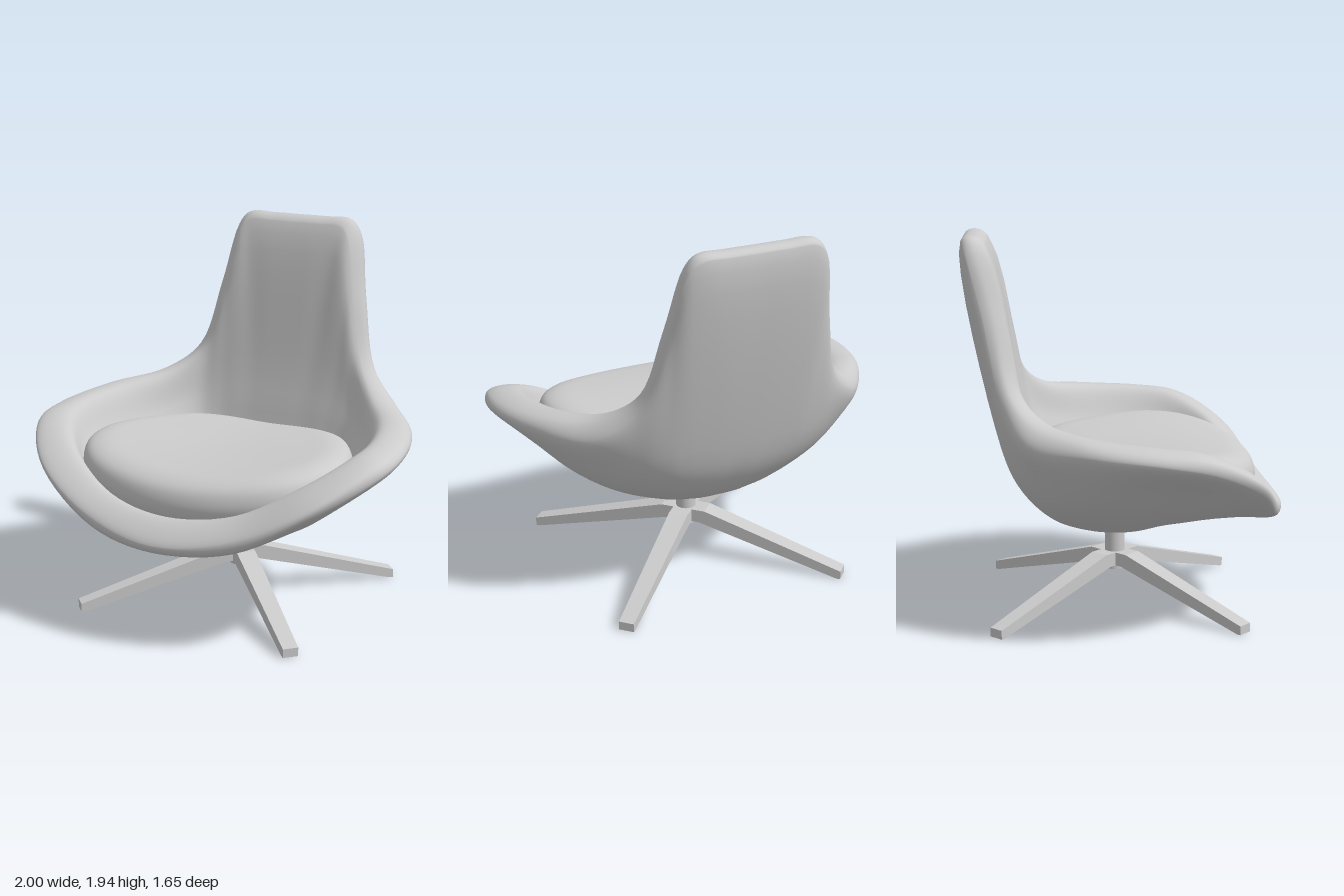
import * as THREE from 'three';

const material = new THREE.MeshStandardMaterial({ color: 0xcccccc, roughness: 0.8 });
const V = (x, y, z) => new THREE.Vector3(x, y, z);

// Closed smooth ring from half a loop (front centre, round the +x side, to back centre)
function mirroredRing(half) {
  const right = half.map((p) => V(...p));
  const left = right.slice(1, -1).reverse().map((p) => V(-p.x, p.y, p.z));
  return new THREE.CatmullRomCurve3([...right, ...left], true);
}

// Smooth surface through rings of points, ordered bottom to top
function loft(rows) {
  const n = rows[0].length;
  const position = [], index = [];
  rows.forEach((row) => row.forEach((p) => position.push(p.x, p.y, p.z)));
  for (let i = 0; i < rows.length - 1; i++) {
    for (let j = 0; j < n; j++) {
      const k = (j + 1) % n;
      const a = i * n + j, b = i * n + k, c = a + n, d = b + n;
      index.push(a, b, c, b, d, c);
    }
  }
  const geometry = new THREE.BufferGeometry();
  geometry.setAttribute('position', new THREE.Float32BufferAttribute(position, 3));
  geometry.setIndex(index);
  geometry.computeVertexNormals();
  return geometry;
}

// Ribs run from the underside, up the outside, over the rim and down to the floor
function ribLoft(rings, start, end, columns, rowCount) {
  const rows = Array.from({ length: rowCount + 1 }, () => []);
  for (let j = 0; j < columns; j++) {
    const rib = new THREE.CatmullRomCurve3([start, ...rings.map((r) => r.getPoint(j / columns)), end]);
    rows.forEach((row, i) => row.push(rib.getPoint(i / rowCount)));
  }
  return loft(rows);
}

function shellGeometry() {
  const underside = [
    [0, 0.483, 0.23], [0.19, 0.483, 0.2], [0.32, 0.483, 0.15], [0.4, 0.485, 0.08],
    [0.43, 0.487, -0.03], [0.41, 0.487, -0.15], [0.35, 0.488, -0.25], [0.28, 0.49, -0.32],
    [0.22, 0.492, -0.36], [0.165, 0.495, -0.38], [0.11, 0.495, -0.395], [0.05, 0.495, -0.4], [0, 0.495, -0.4]];
  const bottom = underside.map(([x, y, z]) => [x * 0.5, 0.332 + y * 0.2, z * 0.5 - 0.04]);
  const haunch = [
    [0, 0.508, 0.42], [0.28, 0.52, 0.38], [0.5, 0.55, 0.3], [0.62, 0.61, 0.18],
    [0.66, 0.63, 0.02], [0.64, 0.625, -0.18], [0.55, 0.63, -0.36], [0.41, 0.645, -0.47],
    [0.31, 0.655, -0.515], [0.23, 0.66, -0.535], [0.15, 0.66, -0.545], [0.075, 0.66, -0.55], [0, 0.66, -0.55]];
  const belt = [
    [0, 0.51, 0.62], [0.34, 0.53, 0.57], [0.64, 0.63, 0.46], [0.8, 0.75, 0.28],
    [0.83, 0.78, 0.08], [0.8, 0.78, -0.2], [0.65, 0.8, -0.45], [0.485, 0.85, -0.57],
    [0.37, 0.88, -0.615], [0.28, 0.89, -0.63], [0.18, 0.89, -0.637], [0.09, 0.89, -0.641], [0, 0.89, -0.642]];
  const rimOutside = [
    [0, 0.5, 0.8], [0.4, 0.55, 0.74], [0.75, 0.74, 0.62], [0.96, 0.88, 0.38],
    [1.0, 0.93, 0.15], [0.92, 0.96, -0.2], [0.72, 0.98, -0.5], [0.53, 1.13, -0.62],
    [0.425, 1.55, -0.71], [0.357, 1.85, -0.79], [0.29, 1.91, -0.81], [0.15, 1.915, -0.815], [0, 1.915, -0.815]];
  const rimTop = [
    [0, 0.545, 0.82], [0.42, 0.62, 0.75], [0.77, 0.8, 0.62], [0.95, 0.94, 0.38],
    [0.975, 0.975, 0.15], [0.88, 1.015, -0.2], [0.68, 1.065, -0.46], [0.523, 1.2, -0.585],
    [0.425, 1.55, -0.66], [0.36, 1.868, -0.745], [0.305, 1.935, -0.76], [0.15, 1.94, -0.76], [0, 1.94, -0.76]];
  const rimInside = [
    [0, 0.65, 0.69], [0.36, 0.7, 0.63], [0.66, 0.86, 0.5], [0.81, 0.965, 0.3],
    [0.83, 0.995, 0.1], [0.75, 1.02, -0.18], [0.6, 1.07, -0.4], [0.48, 1.2, -0.53],
    [0.39, 1.55, -0.61], [0.325, 1.84, -0.67], [0.27, 1.9, -0.69], [0.14, 1.905, -0.69], [0, 1.905, -0.69]];
  const innerWall = [
    [0, 0.6, 0.6], [0.34, 0.63, 0.56], [0.6, 0.72, 0.43], [0.71, 0.8, 0.26],
    [0.72, 0.82, 0.08], [0.66, 0.84, -0.14], [0.56, 0.88, -0.34], [0.46, 0.92, -0.45],
    [0.36, 0.97, -0.487], [0.26, 1.0, -0.5], [0.17, 1.0, -0.505], [0.08, 1.0, -0.505], [0, 1.0, -0.505]];
  const floor = innerWall.map(([x, , z]) => [x * 0.75, 0.64, z * 0.75]);
  const rings = [bottom, underside, haunch, belt, rimOutside, rimTop, rimInside, innerWall, floor];
  return ribLoft(rings.map(mirroredRing), V(0, 0.412, -0.08), V(0, 0.6, 0), 144, 80);
}

// Puffy seat pad: scaled copies of its outline, lowered towards the edge
function cushionGeometry() {
  const outline = mirroredRing([
    [0, 0, 0.68], [0.3, 0, 0.64], [0.55, 0, 0.53], [0.68, 0, 0.37], [0.715, 0, 0.19],
    [0.68, 0, 0], [0.59, 0, -0.21], [0.45, 0, -0.4], [0.28, 0, -0.48], [0, 0, -0.49]]);
  const profile = new THREE.CatmullRomCurve3(
    [[0, 0.27], [0.88, 0.26], [0.97, 0.21], [1, 0.14], [0.97, 0.07], [0.87, 0.025], [0.6, 0.005], [0, 0]]
      .map(([s, drop]) => V(s, drop, 0)));
  const rows = [];
  for (let i = 0; i <= 42; i++) {
    const { x: s, y: drop } = profile.getPoint(i / 42);
    const row = [];
    for (let j = 0; j < 108; j++) {
      const p = outline.getPoint(j / 108);
      const x = p.x * s, z = 0.1 + (p.z - 0.1) * s;
      const top = 0.873 + 0.14 * x * x - 0.06 * Math.max(0, z) ** 2;
      row.push(V(x, top - drop, z));
    }
    rows.push(row);
  }
  return loft(rows);
}

// Sloping leg, tapering in width from hub to foot
function legGeometry() {
  const side = new THREE.Shape(
    [[0, 0.2], [0.09, 0.2], [0.85, 0], [0.87, 0], [0.87, 0.045], [0.12, 0.27], [0, 0.27]]
      .map(([r, y]) => new THREE.Vector2(r, y)));
  const geometry = new THREE.ExtrudeGeometry(side, { depth: 1, bevelEnabled: false });
  geometry.translate(0, 0, -0.5);
  const p = geometry.attributes.position;
  for (let i = 0; i < p.count; i++) p.setZ(i, p.getZ(i) * (0.105 - 0.03 * p.getX(i)));
  geometry.computeVertexNormals();
  return geometry;
}

export function createModel() {
  const model = new THREE.Group();
  model.name = 'swivelLoungeChair';
  const add = (parent, name, geometry) => {
    const mesh = new THREE.Mesh(geometry, material);
    mesh.name = name;
    parent.add(mesh);
    return mesh;
  };

  add(model, 'shell', shellGeometry());
  add(model, 'seatCushion', cushionGeometry());

  // Pedestal with four diagonal legs
  const base = new THREE.Group();
  base.name = 'base';
  base.position.set(0.018, 0, -0.045);
  model.add(base);
  add(base, 'column', new THREE.CylinderGeometry(0.052, 0.052, 0.28, 32)).position.y = 0.315;
  const leg = legGeometry();
  for (let k = 0; k < 4; k++) {
    add(base, 'leg' + (k + 1), leg).rotation.y = Math.PI / 4 + (k * Math.PI) / 2;
  }
  return model;
}
